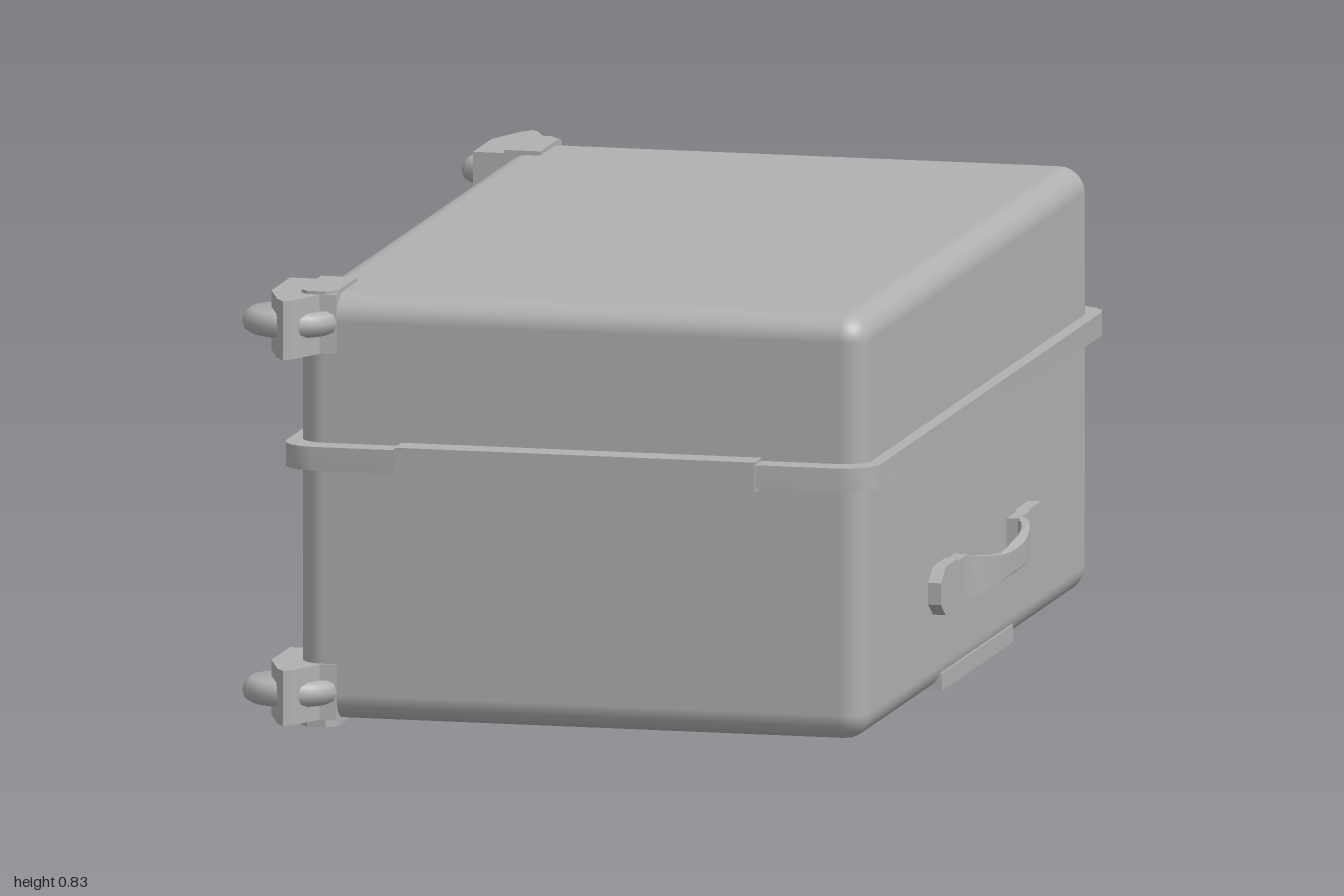
import * as THREE from 'three';
import { RoundedBoxGeometry } from 'three/addons/geometries/RoundedBoxGeometry.js';
import { toCreasedNormals } from 'three/addons/utils/BufferGeometryUtils.js';

const grey = new THREE.MeshStandardMaterial({ color: 0xb0b0b0 });
grey.name = 'grey';

function add(parent, name, geometry, x = 0, y = 0, z = 0) {
  const mesh = new THREE.Mesh(geometry, grey);
  mesh.name = name;
  mesh.position.set(x, y, z);
  parent.add(mesh);
  return mesh;
}

// Box given by its limits
function box(parent, name, x0, x1, y0, y1, z0, z1) {
  return add(parent, name, new THREE.BoxGeometry(x1 - x0, y1 - y0, z1 - z0),
    (x0 + x1) / 2, (y0 + y1) / 2, (z0 + z1) / 2);
}

function extrude(points, depth) {
  const shape = new THREE.Shape(points.map(([x, y]) => new THREE.Vector2(x, y)));
  return new THREE.ExtrudeGeometry(shape, { depth, bevelEnabled: false });
}

// Upright prism from a plan outline of [x, z] points
function prism(points, y0, y1) {
  const g = extrude(points.map(([x, z]) => [x, -z]), y1 - y0);
  return g.rotateX(-Math.PI / 2).translate(0, y0, 0);
}

// Plan outline of a rectangle with rounded corners
function roundedPlan(x0, x1, z0, z1, r) {
  const points = [];
  [[x1, z1], [x0, z1], [x0, z0], [x1, z0]].forEach(([cx, cz], i) => {
    const ix = cx === x1 ? cx - r : cx + r;
    const iz = cz === z1 ? cz - r : cz + r;
    for (let k = 0; k <= 4; k++) {
      const a = (i + k / 4) * Math.PI / 2;
      points.push([ix + r * Math.cos(a), iz + r * Math.sin(a)]);
    }
  });
  return points;
}

// Handle along x, sticking out along +z, with two pointed mounts
function makeHandle(name, o) {
  const handle = new THREE.Group();
  handle.name = name;
  const n = 12, outline = [];
  for (let i = 0; i <= n; i++) {
    const a = Math.PI * i / n;
    outline.push([o.grip * Math.cos(a), o.base + o.rise * Math.sin(a)]);
  }
  for (let i = n; i >= 0; i--) {
    const a = Math.PI * i / n;
    outline.push([(o.grip - o.thick) * Math.cos(a), o.base + (o.rise - o.thick) * Math.sin(a) - 0.002]);
  }
  // The grip narrows towards its middle
  const grip = prism(outline, -1, 1);
  const p = grip.attributes.position;
  for (let i = 0; i < p.count; i++) {
    const t = p.getX(i) / o.grip;
    p.setY(i, p.getY(i) * (o.mid + (o.half * 0.92 - o.mid) * t * t));
  }
  grip.computeVertexNormals();
  add(handle, 'grip', toCreasedNormals(grip, 0.6));
  const h = o.half, span = o.length - o.grip;
  for (const s of [-1, 1]) {
    const at = (f, y) => [s * (o.grip + span * f), y];
    const inner = [s * (o.grip - o.thick), h * 0.9];
    add(handle, 'handleMount', extrude([
      inner, at(0.28, h * 0.9), at(0.32, h), at(0.8, h), at(1, h * 0.45),
      at(1, -h * 0.45), at(0.8, -h), at(0.32, -h), at(0.28, -h * 0.9), [inner[0], -inner[1]],
    ], o.base + 0.01), 0, 0, -0.01);
  }
  return handle;
}

// Corner bracket with a fin, a cover plate and a wheel
function makeCaster(top, s) {
  const caster = new THREE.Group();
  caster.name = 'caster';
  const end = s > 0 ? 0.905 : 0.86;
  const plan = [[-0.585, -0.165], [-0.455, -0.165], [-0.455, 0.003], [-0.485, 0.01],
    [-0.522, 0.085], [-0.535, 0.095], [-0.552, 0.07], [-0.585, -0.02]]
    .map(([x, z]) => [x, s * (end + z)]);
  const y0 = top ? 0.71 : 0.015, y1 = top ? 0.822 : 0.12;
  add(caster, 'wheelBracket', prism(plan, y0, y1));
  const cover = [[-0.525, -0.165], [-0.455, -0.165], [-0.455, -0.02], [-0.475, 0.005], [-0.51, 0.005], [-0.525, -0.01]]
    .map(([x, z]) => [x, s * (end + z)]);
  add(caster, 'coverPlate', prism(cover, top ? 0.81 : 0, top ? 0.828 : 0.02));
  const profile = [[0, -0.023], [0.078, -0.023], [0.09, -0.016], [0.095, 0],
    [0.09, 0.016], [0.078, 0.023], [0, 0.023]].map(([r, y]) => new THREE.Vector2(r, y));
  const wheel = toCreasedNormals(new THREE.LatheGeometry(profile, 20), 0.8);
  add(caster, 'wheel', wheel, -0.545, top ? 0.768 : 0.067, s * (end - 0.022));
  return caster;
}

export function createModel() {
  const suitcase = new THREE.Group();
  suitcase.name = 'suitcase';

  // Shell
  add(suitcase, 'shell', new RoundedBoxGeometry(1.095, 0.808, 1.765, 4, 0.05), 0.0175, 0.416, 0.0225);

  // Closing band around the middle, with a thicker front section
  const band = prism(roundedPlan(-0.555, 0.59, -0.91, 0.955, 0.065), 0.495, 0.54);
  add(suitcase, 'closingBand', toCreasedNormals(band, 0.6));
  box(suitcase, 'frontHinge', -0.33, 0.365, 0.488, 0.546, 0.9, 0.962);

  // Wheels on the four left corners
  for (const top of [true, false]) for (const s of [1, -1]) suitcase.add(makeCaster(top, s));

  // Side handle
  const side = makeHandle('sideHandle',
    { length: 0.412, grip: 0.22, base: 0.025, rise: 0.045, thick: 0.018, half: 0.046, mid: 0.02 });
  side.rotation.y = Math.PI / 2;
  side.position.set(0.565, 0.214, 0.002);
  suitcase.add(side);

  // Back handle
  const back = makeHandle('backHandle',
    { length: 0.2, grip: 0.107, base: 0.04, rise: 0.1, thick: 0.024, half: 0.038, mid: 0.03 });
  back.rotation.y = Math.PI;
  back.position.set(0.015, 0.322, -0.86);
  suitcase.add(back);

  // Finger grip along the bottom right edge
  box(suitcase, 'bottomGrip', 0.5, 0.566, 0.012, 0.045, -0.25, 0.31);

  // Combination lock with three dials and a release button
  const lock = new THREE.Group();
  lock.name = 'lock';
  box(lock, 'lockBase', 0.27, 0.415, 0.36, 0.435, -0.935, -0.85);
  box(lock, 'lockEnd', 0.385, 0.415, 0.36, 0.435, -0.965, -0.93);
  box(lock, 'lockEnd', 0.27, 0.3, 0.36, 0.435, -0.965, -0.93);
  for (let i = 0; i < 2; i++) {
    box(lock, 'dial', 0.316 + i * 0.03, 0.338 + i * 0.03, 0.365, 0.43, -0.965, -0.93);
  }
  const button = add(lock, 'releaseButton', new THREE.CylinderGeometry(0.016, 0.016, 0.025, 10), 0.292, 0.398, -0.972);
  button.rotation.x = Math.PI / 2;
  suitcase.add(lock);

  // Zip pulls above the lock
  for (const x of [0.34, 0.39]) {
    box(suitcase, 'zipPull', x - 0.018, x + 0.018, 0.508, 0.528, -0.932, -0.9);
    box(suitcase, 'zipTab', x - 0.01, x + 0.01, 0.514, 0.522, -0.95, -0.93);
  }
  return suitcase;
}
